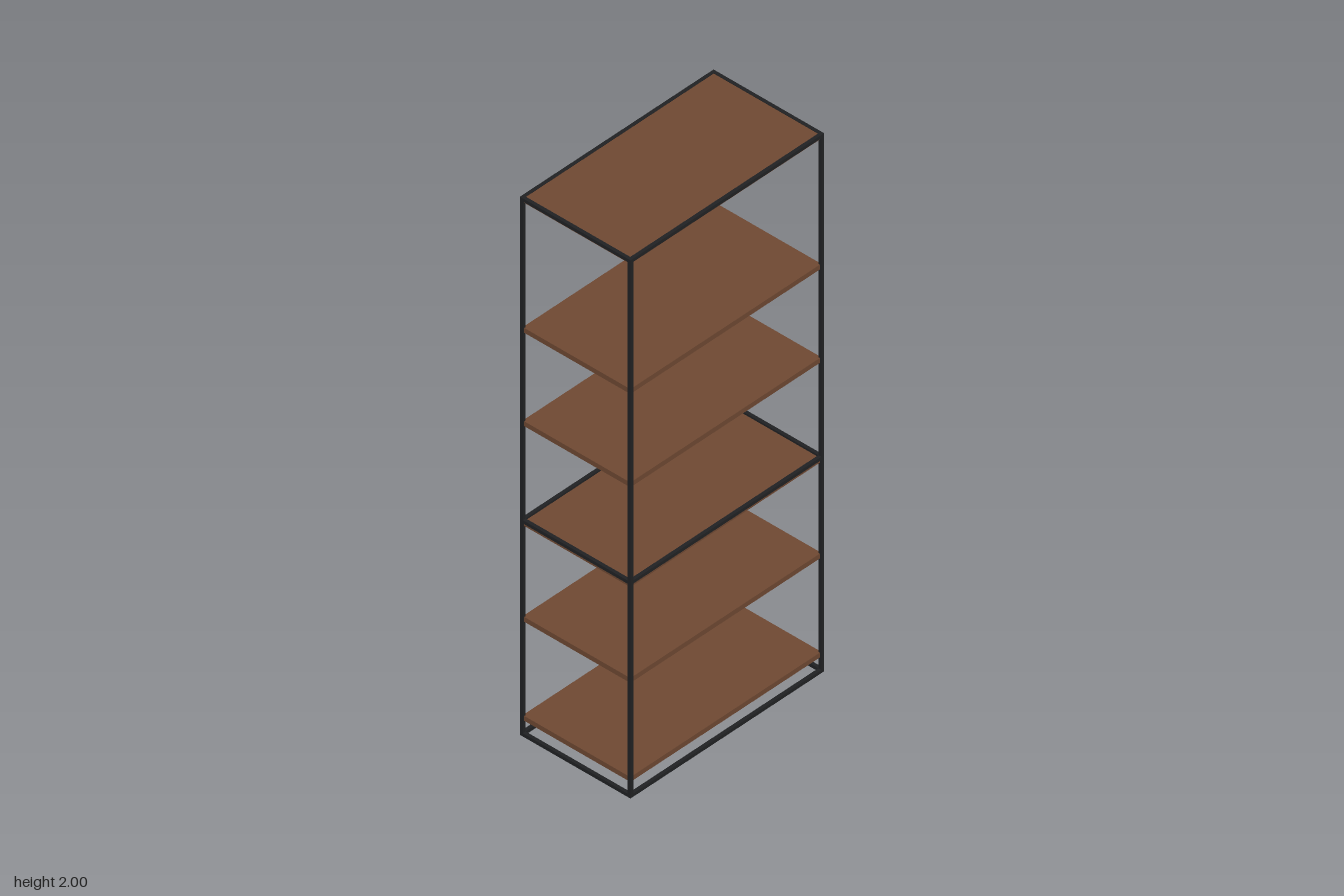
import * as THREE from 'three';

const W = 0.83, D = 0.444, H = 2, BAR = 0.012;

export function createModel() {
  const model = new THREE.Group();
  model.name = 'shelvingUnit';
  const metal = new THREE.MeshStandardMaterial({ color: 0x202123 });
  const wood = new THREE.MeshStandardMaterial({ color: 0x6e4832 });

  const box = (name, size, pos, material, parent) => {
    const mesh = new THREE.Mesh(new THREE.BoxGeometry(...size), material);
    mesh.name = name;
    mesh.position.set(...pos);
    parent.add(mesh);
  };

  const px = (W - BAR) / 2, pz = (D - BAR) / 2;

  // Four corner posts
  const frame = new THREE.Group();
  frame.name = 'frame';
  model.add(frame);
  for (const sx of [-1, 1])
    for (const sz of [-1, 1])
      box('post', [BAR, H, BAR], [sx * px, H / 2, sz * pz], metal, frame);

  // Horizontal rail rings at the floor, middle and top
  for (const y of [BAR / 2, 0.798, H - BAR / 2])
    for (const s of [-1, 1]) {
      box('longRail', [W - 2 * BAR, BAR, BAR], [0, y, s * pz], metal, frame);
      box('sideRail', [BAR, BAR, D - 2 * BAR], [s * px, y, 0], metal, frame);
    }

  // Six wooden shelves, reaching into the middle of the posts
  const shelves = new THREE.Group();
  shelves.name = 'shelves';
  model.add(shelves);
  for (const y of [0.064, 0.432, 0.788, 1.159, 1.506, 1.989])
    box('shelf', [W - BAR, 0.018, D - BAR], [0, y, 0], wood, shelves);

  return model;
}
